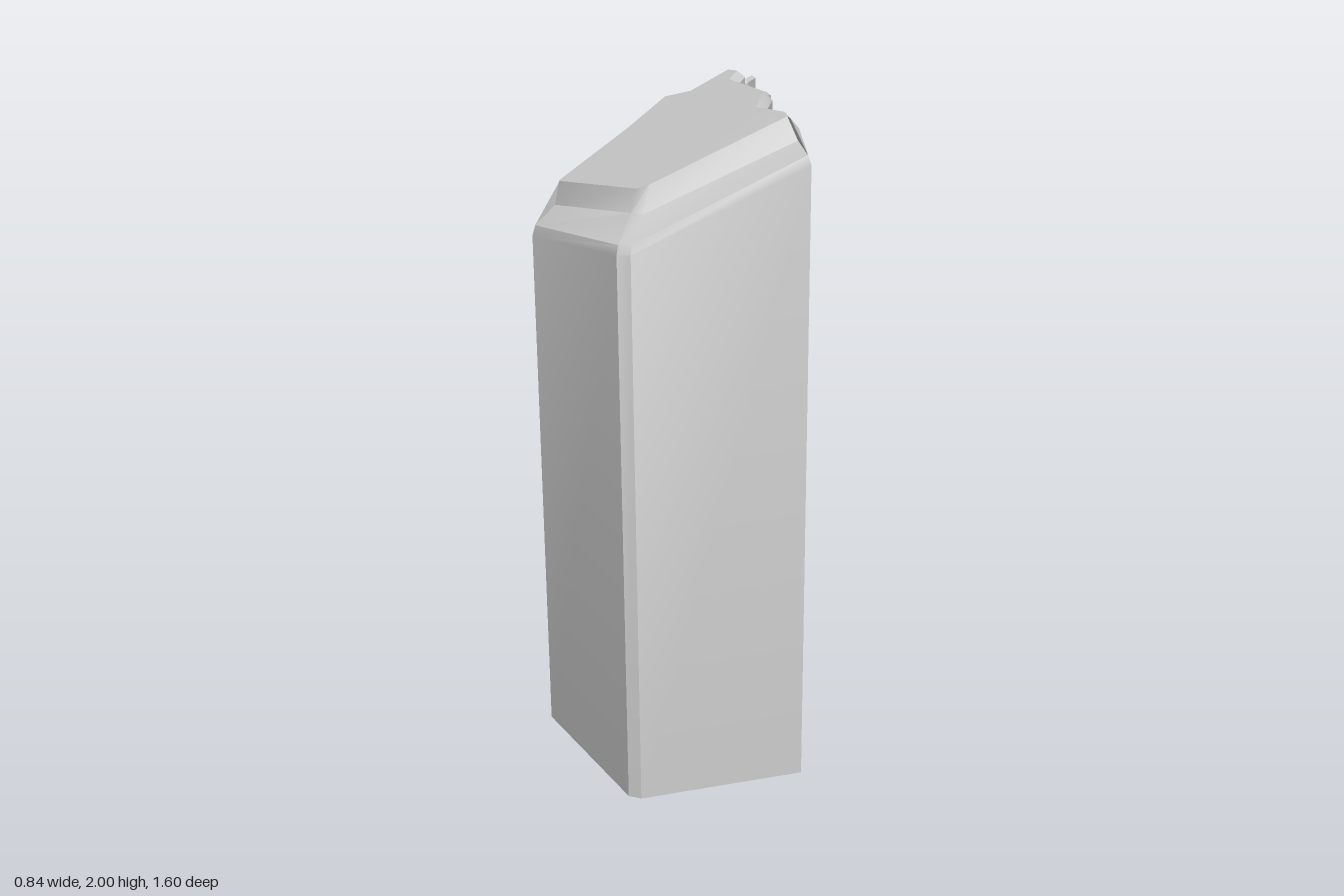
import * as THREE from 'three';
import { toCreasedNormals } from 'three/addons/utils/BufferGeometryUtils.js';

// Skin a stack of equal-length rings ([x, y, z] points) and close the top; the base stays open.
function skin(rings) {
  const pos = [];
  const same = (a, b) => a.every((v, k) => Math.abs(v - b[k]) < 1e-6);
  const tri = (a, b, c) => {
    if (!same(a, b) && !same(b, c) && !same(a, c)) pos.push(...a, ...b, ...c);
  };
  for (let r = 0; r < rings.length - 1; r++) {
    const lo = rings[r], hi = rings[r + 1], n = lo.length;
    for (let i = 0; i < n; i++) {
      const j = (i + 1) % n;
      tri(lo[i], lo[j], hi[j]);
      tri(lo[i], hi[j], hi[i]);
    }
  }
  const top = rings[rings.length - 1];
  const flat = top.map(([x, , z]) => new THREE.Vector2(x, -z));
  for (const [a, b, c] of THREE.ShapeUtils.triangulateShape(flat, [])) tri(top[a], top[b], top[c]);
  const geo = new THREE.BufferGeometry();
  geo.setAttribute('position', new THREE.Float32BufferAttribute(pos, 3));
  return toCreasedNormals(geo, 0.55);
}

// Move each outline point inwards by width(x).
function inset(outline, width) {
  const n = outline.length;
  return outline.map(([x, z], i) => {
    const p = outline[(i + n - 1) % n], q = outline[(i + 1) % n];
    const a = new THREE.Vector2(z - p[1], p[0] - x).normalize();
    const b = new THREE.Vector2(q[1] - z, x - q[0]).normalize();
    const m = a.add(b).normalize();
    return [x + m.x * width(x), z + m.y * width(x)];
  });
}

// Upright column with a sloping, chamfered top.
function column(outline, base, height, chamfer) {
  const inner = inset(outline, () => chamfer);
  return skin([
    outline.map(([x, z]) => [x, base, z]),
    outline.map(([x, z]) => [x, height(x, z) - chamfer, z]),
    inner.map(([x, z]) => [x, height(x, z), z]),
  ]);
}

// Large front block with a lower shelf along its two front faces.
function frontBlock() {
  const height = (x, z) => Math.min(2, 1.96 + 0.363 * x - 0.19 * z);
  const outline = [
    [-0.42, 0.47], [-0.02, 0.8], [0.02, 0.8], [0.42, 0.51],
    [0.35, 0.4], [0.31, 0.33], [0.19, 0.21], [0.17, 0.08], [-0.02, -0.16],
    [-0.02, -0.23], [-0.09, -0.29], [-0.18, -0.18], [-0.27, -0.19], [-0.31, 0.04], [-0.39, 0.345],
  ];
  const lip = [1.615, 1.69, 1.695, 1.9];
  const shelfOuter = [[-0.414, 1.645, 0.462], [-0.02, 1.715, 0.787], [0.02, 1.72, 0.787], [0.408, 1.925, 0.503]];
  const shelfInner = [[-0.39, 1.685, 0.375], [-0.03, 1.77, 0.67], [0.005, 1.77, 0.67], [0.352, 1.94, 0.415]];
  const crest = [[-0.382, 0.36], [-0.03, 0.635], [0.008, 0.635], [0.315, 0.395]].map(([x, z]) => [x, height(x, z), z]);
  const sides = inset(outline, (x) => (x > -0.2 ? 0.025 : 0.008))
    .map(([x, z]) => [x, height(x, z), z]).slice(4);
  return skin([
    outline.map(([x, z]) => [x, 0.035, z]),
    outline.map(([x, z], i) => [x, i < 4 ? lip[i] : height(x, z) - 0.03, z]),
    [...shelfOuter, ...sides],
    [...shelfInner, ...sides],
    [...crest, ...sides],
  ]);
}

export function createModel() {
  const group = new THREE.Group();
  group.name = 'rockColumns';
  const stone = new THREE.MeshStandardMaterial({ color: 0xcccccc, side: THREE.DoubleSide });
  stone.name = 'stone grey';
  const add = (name, geo) => {
    const mesh = new THREE.Mesh(geo, stone);
    mesh.name = name;
    group.add(mesh);
  };

  add('frontBlock', frontBlock());

  // Slim column joining the two larger ones
  add('middleColumn', column([
    [-0.22, -0.195], [-0.16, -0.2], [-0.12, -0.27], [-0.05, -0.35],
    [-0.06, -0.45], [-0.18, -0.475], [-0.23, -0.46],
  ], 0, (x) => 1.935 + 0.6 * (x + 0.06), 0.015));

  // Lower column at the back
  add('backColumn', column([
    [-0.33, -0.6], [-0.21, -0.5], [-0.06, -0.455], [-0.06, -0.6],
    [-0.125, -0.72], [-0.12, -0.79], [-0.21, -0.8],
  ], 0.025, (x, z) => 1.955 + 0.25 * x + 0.15 * z, 0.015));

  return group;
}
